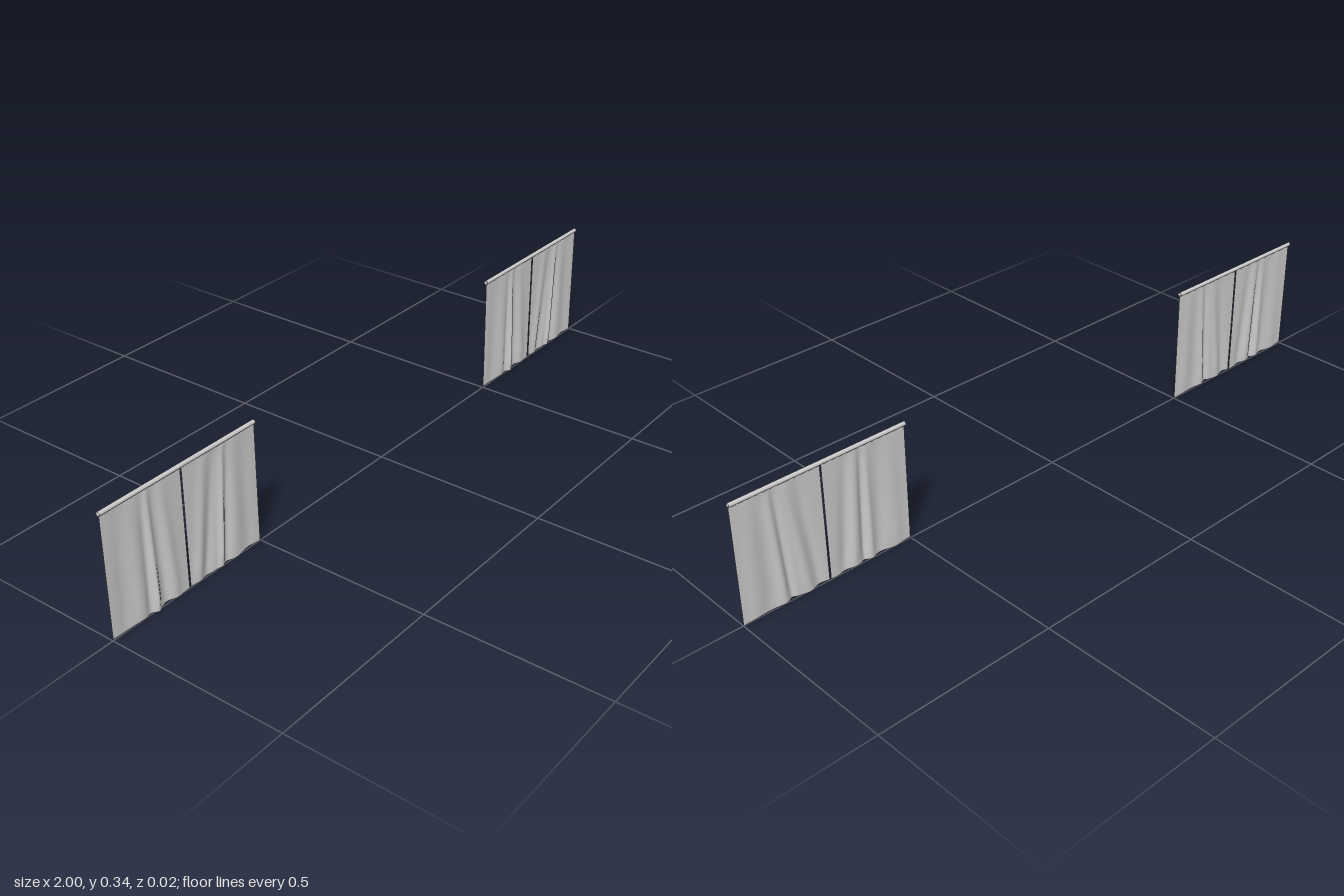
import * as THREE from 'three';

const WIDTH = 0.5, TOP = 0.336, ROD_Y = 0.339, ROD_Z = -0.003;
const material = new THREE.MeshStandardMaterial({ color: 0xcccccc, side: THREE.DoubleSide });

// Folds: x at the hem, x at the top, half width, depth (+ is towards the front)
const leftFolds = [
  [-0.205, -0.2, 0.02, -0.003],
  [-0.155, -0.16, 0.02, 0.005],
  [-0.128, -0.125, 0.012, -0.005],
  [-0.108, -0.115, 0.010, 0.011],
  [-0.075, -0.095, 0.014, -0.006],
  [-0.045, -0.07, 0.016, 0.006],
];
const rightFolds = [
  [0.03, 0.07, 0.016, 0.006],
  [0.06, 0.105, 0.016, -0.006],
  [0.108, 0.135, 0.010, 0.009],
  [0.13, 0.15, 0.012, -0.005],
  [0.165, 0.17, 0.02, 0.004],
  [0.21, 0.205, 0.02, -0.003],
];

// One cloth panel hanging from the rod, its folds fading out towards the top
function makePanel(name, x0, x1, folds) {
  const geometry = new THREE.PlaneGeometry(x1 - x0, TOP, 70, 30);
  geometry.translate((x0 + x1) / 2, TOP / 2, 0);
  const p = geometry.attributes.position;
  for (let i = 0; i < p.count; i++) {
    const x = p.getX(i), t = p.getY(i) / TOP;
    const fade = Math.pow(1 - t, 0.45) * (0.65 + 0.35 * Math.min(1, t / 0.12));
    let z = 0;
    for (const [hem, top, width, depth] of folds) {
      const d = (x - THREE.MathUtils.lerp(hem, top, t)) / width;
      z += depth * Math.exp(-d * d);
    }
    p.setZ(i, THREE.MathUtils.clamp(z * fade - 0.002 * t, -0.007, 0.011));
    // slightly uneven hem
    const lift = 0.0015 * (1 + Math.sin(x * 70));
    p.setY(i, lift + t * (TOP - lift));
  }
  geometry.computeVertexNormals();
  const mesh = new THREE.Mesh(geometry, material);
  mesh.name = name;
  return mesh;
}

// A rod with a pair of panels
function makeCurtain(name) {
  const curtain = new THREE.Group();
  curtain.name = name;
  const rodGeometry = new THREE.CylinderGeometry(0.0058, 0.0058, WIDTH, 16, 1, true);
  const rod = new THREE.Mesh(rodGeometry.rotateZ(Math.PI / 2), material);
  rod.name = 'rod';
  rod.position.set(0, ROD_Y, ROD_Z);
  curtain.add(
    rod,
    makePanel('rightPanel', -0.249, -0.002, leftFolds),
    makePanel('leftPanel', 0.002, 0.249, rightFolds),
  );
  return curtain;
}

export function createModel() {
  const model = new THREE.Group();
  model.name = 'curtains';
  for (const [name, x] of [['rightCurtain', -0.75], ['leftCurtain', 0.75]]) {
    const curtain = makeCurtain(name);
    curtain.position.x = x;
    model.add(curtain);
  }
  return model;
}
